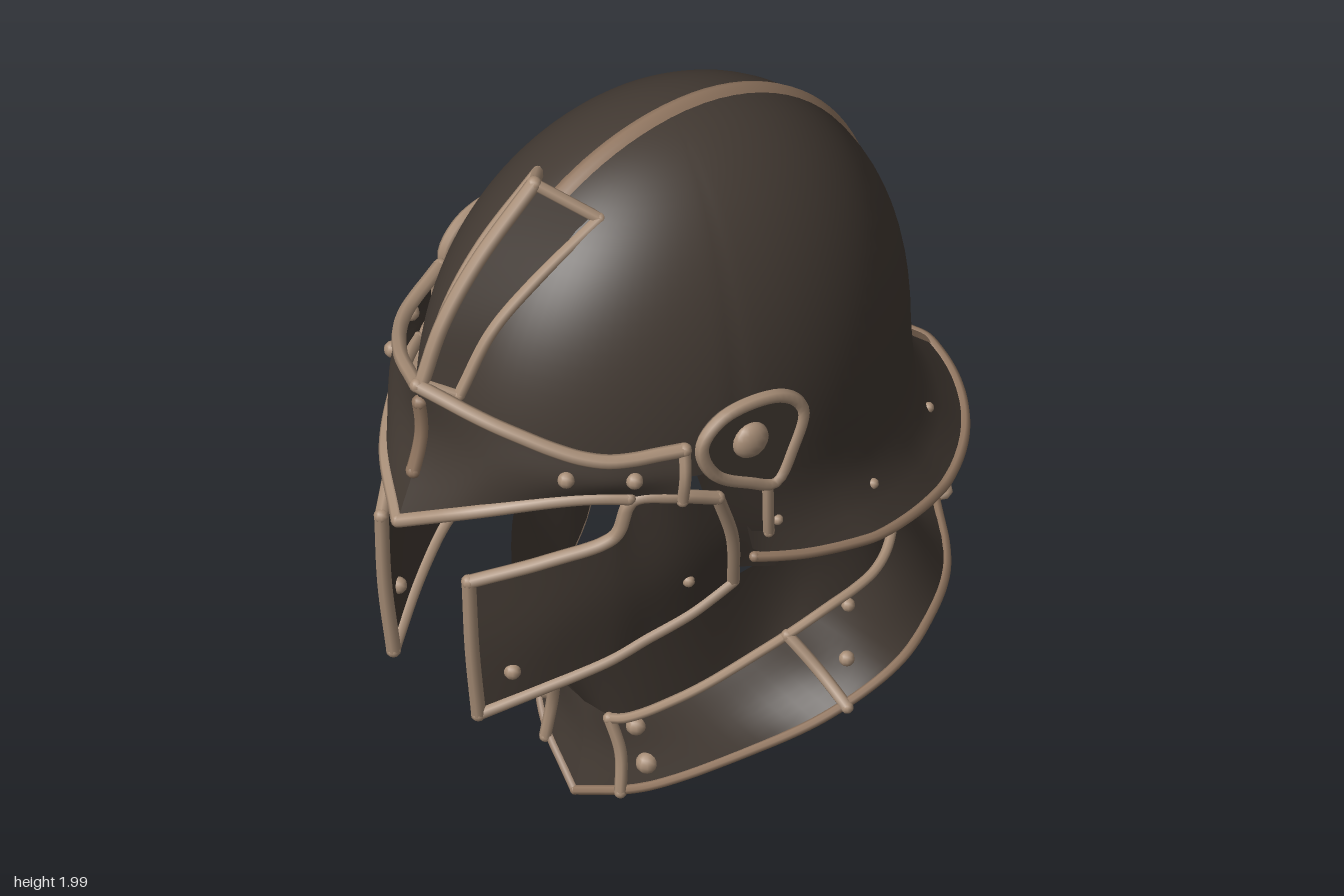
import * as THREE from 'three';

const V = (p, s = 1) => new THREE.Vector3(p[0] * s, p[1], p[2]);
const curve = (pts, closed = false) => new THREE.CatmullRomCurve3(pts, closed);
const SIDES = [['left', 1], ['right', -1]];

// piecewise linear lookup
function interp(table, x) {
  for (let i = 1; i < table.length; i++) {
    const [x0, y0] = table[i - 1], [x1, y1] = table[i];
    if (x <= x1) return y0 + (y1 - y0) * (x - x0) / (x1 - x0);
  }
  return table[table.length - 1][1];
}

// smooth surface through rows of points, as a function of (u, v)
function surface(rows, s = 1) {
  const curves = rows.map(r => curve(r.map(p => V(p, s))));
  return (u, v) => curve(curves.map(c => c.getPoint(u))).getPoint(v);
}

// mesh grid over a function of (u, v)
function grid(f, nu, nv) {
  const pos = [], idx = [];
  for (let j = 0; j <= nv; j++)
    for (let i = 0; i <= nu; i++) pos.push(...f(i / nu, j / nv).toArray());
  for (let j = 0; j < nv; j++)
    for (let i = 0; i < nu; i++) {
      const a = j * (nu + 1) + i, b = a + nu + 1;
      idx.push(a, b, a + 1, a + 1, b, b + 1);
    }
  const g = new THREE.BufferGeometry();
  g.setAttribute('position', new THREE.Float32BufferAttribute(pos, 3));
  g.setIndex(idx);
  g.computeVertexNormals();
  return g;
}

// skull shell: angle 0 is the back, PI the front; t runs from apex to edge
const HEM = [[0, 0.88], [0.45, 0.845], [0.85, 0.845], [1.57, 0.93], [1.76, 0.96], [1.84, 1.25], [3.15, 1.3]];
const FLARE = [[0, 0.13], [0.8, 0.1], [1.3, 0.09], [1.6, 0.04], [1.84, 0], [3.15, 0]];
function skullPoint(angle, t) {
  const a = Math.abs(angle), hem = interp(HEM, a);
  const y = hem + (1.985 - hem) * Math.cos(t * Math.PI / 2);
  const h = Math.max(0, (y - 1.2) / 0.785);
  const r = Math.sqrt(Math.max(0, 1 - Math.pow(h, 2.3)));
  const k = Math.max(0, (hem + 0.22 - y) / 0.22);
  const flare = k * k * interp(FLARE, a);
  const depth = Math.cos(a) > 0 ? 0.65 + Math.max(0, 1.2 - y) * 0.1 : 0.7;
  return new THREE.Vector3(Math.sin(angle) * (0.49 * r + flare), y, -Math.cos(angle) * (depth * r + flare));
}

export function createModel() {
  const root = new THREE.Group();
  const material = (name, color) => {
    const m = new THREE.MeshStandardMaterial({ color, side: THREE.DoubleSide });
    m.name = name;
    return m;
  };
  const steel = material('dark steel', 0x433a33);
  const bronze = material('polished bronze', 0xa88e77);
  const brown = material('worn bronze', 0x927761);

  function add(name, geo, mat, parent = root) {
    const m = new THREE.Mesh(geo, mat);
    m.name = name;
    parent.add(m);
    return m;
  }
  function rivet(name, p, r = 0.022, mat = bronze) {
    add(name, new THREE.SphereGeometry(r, 10, 8), mat).position.copy(p);
  }
  // rounded border along a surface from (u0,v0) to (u1,v1), with beads closing its ends
  function edge(name, f, u0, v0, u1, v1, r, mat = bronze, n = 10) {
    const pts = [];
    for (let i = 0; i <= n; i++) pts.push(f(u0 + (u1 - u0) * i / n, v0 + (v1 - v0) * i / n));
    add(name, new THREE.TubeGeometry(curve(pts), n * 4, r, 7), mat);
    for (const p of [pts[0], pts[n]]) rivet(name + 'End', p, r, mat);
  }

  // skull, hem border and central ridge
  add('skull', grid((u, v) => skullPoint((u * 2 - 1) * Math.PI, v), 96, 28), steel);
  edge('skullHem', skullPoint, -1.76, 1, 1.76, 1, 0.014, brown, 40);
  const ridgePoint = q => q < 0.64 ? skullPoint(0, 1 - q / 0.64) : skullPoint(Math.PI, (q - 0.64) / 0.6);
  add('skullRidge', grid((u, v) => {
    const p = ridgePoint(v), out = p.clone().sub(new THREE.Vector3(0, 1.2, 0)).normalize();
    p.addScaledVector(out, u === 0.5 ? 0.014 : u === 0 || u === 1 ? -0.006 : 0.009);
    p.x = (u - 0.5) * 0.062;
    return p;
  }, 4, 50), brown);

  for (const [side, s] of SIDES) {
    // brow plate of the visor
    const brow = surface([
      [[0, 1.52, 0.8], [0.2, 1.45, 0.69], [0.38, 1.38, 0.53], [0.475, 1.38, 0.34]],
      [[0, 1.36, 0.785], [0.2, 1.34, 0.72], [0.39, 1.32, 0.54], [0.49, 1.31, 0.35]],
      [[0, 1.13, 0.86], [0.17, 1.21, 0.76], [0.36, 1.26, 0.54], [0.48, 1.23, 0.35]]], s);
    add(side + 'Brow', grid(brow, 24, 10), steel);
    edge(side + 'BrowTopTrim', brow, 0, 0, 1, 0, 0.019);
    edge(side + 'BrowLowerTrim', brow, 0, 1, 0.8, 1, 0.018);
    edge(side + 'BrowRearTrim', brow, 1, 0, 1, 1, 0.016);
    rivet(side + 'BrowRivetFront', brow(0.56, 0.45));
    rivet(side + 'BrowRivetRear', brow(0.8, 0.45));

    // cheek guard, stepped up behind the eye slot
    const cheek = surface([
      [[0.17, 1.0, 0.775], [0.3, 1.07, 0.62], [0.385, 1.13, 0.49], [0.41, 1.24, 0.45], [0.465, 1.24, 0.36], [0.495, 1.2, 0.25]],
      [[0.17, 0.79, 0.765], [0.29, 0.86, 0.61], [0.365, 0.92, 0.48], [0.4, 0.96, 0.4], [0.445, 1.01, 0.3], [0.475, 1.04, 0.19]],
      [[0.165, 0.57, 0.74], [0.255, 0.64, 0.6], [0.33, 0.7, 0.46], [0.36, 0.74, 0.37], [0.4, 0.79, 0.26], [0.43, 0.855, 0.15]]], s);
    add(side + 'Cheek', grid(cheek, 30, 12), steel);
    edge(side + 'CheekTopTrim', cheek, 0, 0, 1, 0, 0.018, bronze, 20);
    edge(side + 'CheekLowerTrim', cheek, 0, 1, 1, 1, 0.017);
    edge(side + 'CheekFrontTrim', cheek, 0, 0, 0, 1, 0.019);
    edge(side + 'CheekRearTrim', cheek, 1, 0, 1, 1, 0.017);
    rivet(side + 'CheekRivetFront', cheek(0.1, 0.77));
    rivet(side + 'CheekRivetRear', cheek(0.79, 0.7), 0.016);

    // strap hanging behind the cheek
    const strap = surface([
      [[0.475, 1.28, 0.3], [0.51, 1.27, 0.08]],
      [[0.47, 1.07, 0.23], [0.505, 1.06, 0.08]],
      [[0.45, 0.92, 0.17], [0.485, 0.89, 0.06]]], s);
    add(side + 'Strap', grid(strap, 4, 10), steel);
    edge(side + 'StrapRearTrim', strap, 0.9, 0.1, 0.9, 0.62, 0.015);

    // shield-shaped pivot plate with its border and boss
    const pivot = new THREE.Group();
    pivot.name = side + 'Pivot';
    pivot.position.set(s * 0.507, 1.36, 0.17);
    pivot.rotation.y = -0.12 * s;
    const outline = [[0.135, 0.03], [0.07, 0.095], [-0.09, 0.095], [-0.155, 0.03], [-0.125, -0.08],
      [-0.075, -0.165], [0.0, -0.135], [0.1, -0.07]];
    const loop = curve(outline.map(([z, y]) => new THREE.Vector3(0, y, z)), true);
    const shape = new THREE.Shape(loop.getPoints(40).map(p => new THREE.Vector2(-p.z, p.y)));
    const plate = new THREE.ExtrudeGeometry(shape, { depth: 0.03, bevelEnabled: false });
    add('pivotPlate', plate.translate(0, 0, -0.015).rotateY(Math.PI / 2), steel, pivot);
    add('pivotBorder', new THREE.TubeGeometry(loop, 48, 0.018, 7, true), bronze, pivot).position.x = s * 0.01;
    const boss = add('pivotBoss', new THREE.SphereGeometry(0.05, 16, 10), bronze, pivot);
    boss.scale.x = 0.6;
    boss.position.x = s * 0.018;
    root.add(pivot);

    // raised forehead crest
    const crest = surface([
      [[0, 1.965, 0.43], [0, 1.81, 0.61], [0, 1.67, 0.72], [0, 1.52, 0.785]],
      [[0.12, 1.875, 0.32], [0.1, 1.76, 0.51], [0.08, 1.65, 0.63], [0.065, 1.49, 0.72]]], s);
    add(side + 'Crest', grid(crest, 16, 4), steel);
    edge(side + 'CrestSideTrim', crest, 0, 1, 1, 1, 0.016);
    edge(side + 'CrestTopTrim', crest, 0, 0, 0, 1, 0.016);
    edge(side + 'CrestBaseTrim', crest, 1, 0, 1, 1, 0.014);
    if (s > 0) {
      edge('crestCentreTrim', crest, 0, 0, 1, 0, 0.02);
      edge('browCentreTrim', brow, 0, 0.18, 0, 0.72, 0.02, brown);
    }

    // neck guard and flared collar, front centre to back centre
    const seam = [[0, 0.28, 0.27], [0.12, 0.3, 0.26], [0.25, 0.4, 0.15], [0.33, 0.5, 0], [0.4, 0.6, -0.13],
      [0.38, 0.64, -0.34], [0.25, 0.69, -0.48], [0, 0.72, -0.54]];
    const neck = surface([
      [[0, 0.53, 0.43], [0.17, 0.62, 0.36], [0.31, 0.74, 0.22], [0.36, 0.8, 0.03], [0.365, 0.83, -0.18],
        [0.31, 0.85, -0.34], [0.18, 0.86, -0.45], [0, 0.86, -0.5]], seam], s);
    add(side + 'Neck', grid(neck, 32, 5), steel);
    const collar = surface([seam,
      [[0, 0.16, 0.275], [0.165, 0.21, 0.24], [0.32, 0.33, 0.12], [0.42, 0.44, -0.04], [0.49, 0.54, -0.19],
        [0.43, 0.57, -0.38], [0.27, 0.57, -0.56], [0, 0.56, -0.64]],
      [[0, 0.02, 0.3], [0.2, 0.12, 0.24], [0.4, 0.27, 0.08], [0.53, 0.39, -0.07], [0.57, 0.48, -0.25],
        [0.48, 0.49, -0.43], [0.3, 0.45, -0.63], [0, 0.41, -0.83]]], s);
    add(side + 'Collar', grid(collar, 32, 10), steel);
    // borders sit on the outer face of the collar
    const outer = (u, v) => {
      const p = collar(u, v), out = new THREE.Vector3(p.x, 0, p.z + 0.12).normalize();
      return p.addScaledVector(out, 0.012);
    };
    edge(side + 'CollarLowerTrim', collar, 0, 1, 1, 1, 0.013, brown, 20);
    edge(side + 'CollarUpperTrim', outer, 0.12, 0, 1, 0, 0.013, bronze, 20);
    edge(side + 'CollarFrontTrim', outer, 0.12, 0, 0.1, 1, 0.016);
    edge(side + 'CollarJoint', outer, 0.5, 0, 0.46, 1, 0.016);
    rivet(side + 'CollarRivetUpper', collar(0.17, 0.15), 0.026);
    rivet(side + 'CollarRivetLower', collar(0.155, 0.68), 0.028);
    rivet(side + 'CollarRivetSide', collar(0.53, 0.6), 0.02);
    rivet(side + 'CollarRivetRear', collar(0.62, 0.15), 0.018);

    // small hem rivets
    for (const a of [0.6, 1.2, 1.66]) rivet(side + 'HemRivet', skullPoint(s * a, 0.94), 0.014);
  }

  // knob at the back of the collar
  const knob = add('collarKnob', new THREE.SphereGeometry(0.04, 12, 8), bronze);
  knob.scale.set(1.6, 0.6, 1);
  knob.position.set(0, 0.415, -0.83);
  return root;
}
